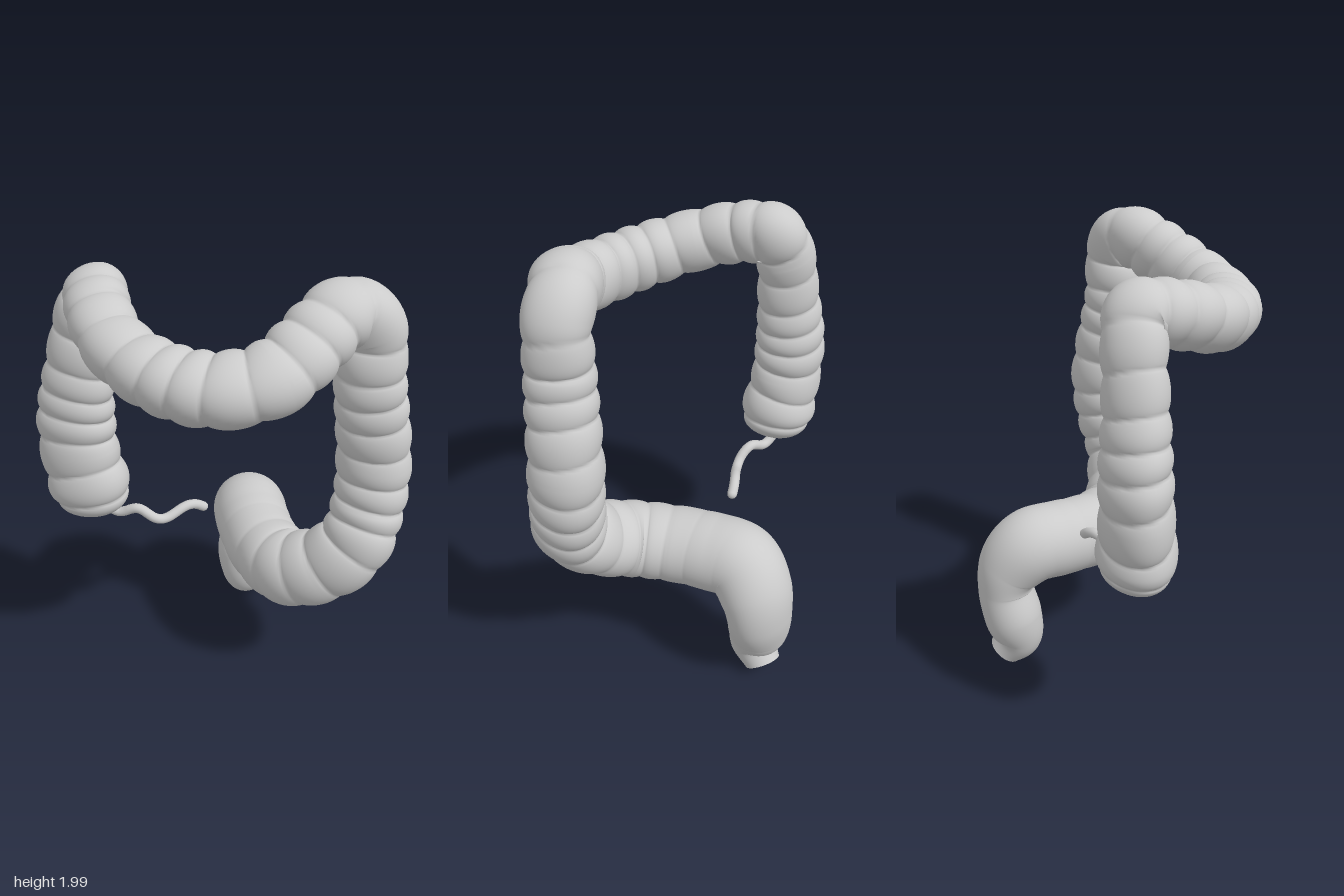
import * as THREE from 'three';

const grey = new THREE.MeshStandardMaterial({ color: 0xcccccc, side: THREE.DoubleSide });

// Centreline stations: x, y, z, radius
const stations = [
  [-0.56, 0.755, 0.055, 0.165],
  [-0.58, 0.91, 0.06, 0.182],
  [-0.615, 1.10, 0.055, 0.173],
  [-0.615, 1.25, 0.05, 0.168],
  [-0.58, 1.50, 0.05, 0.14],
  [-0.54, 1.70, 0.045, 0.126],
  [-0.485, 1.80, 0.06, 0.126],
  [-0.415, 1.785, 0.20, 0.126],
  [-0.30, 1.735, 0.34, 0.127],
  [-0.10, 1.69, 0.44, 0.133],
  [0.12, 1.68, 0.46, 0.137],
  [0.30, 1.72, 0.39, 0.138],
  [0.505, 1.872, 0.11, 0.132],
  [0.585, 1.80, 0.052, 0.128],
  [0.595, 1.60, 0.05, 0.136],
  [0.64, 1.20, 0.0, 0.15],
  [0.64, 1.00, 0.02, 0.15],
  [0.60, 0.82, 0.07, 0.155],
  [0.48, 0.69, 0.078, 0.163],
  [0.32, 0.61, 0.045, 0.168],
  [0.19, 0.592, -0.08, 0.168],
  [0.095, 0.598, -0.24, 0.17],
  [0.045, 0.593, -0.36, 0.17],
  [0.045, 0.49, -0.46, 0.165],
  [0.04, 0.38, -0.482, 0.156],
  [0.01, 0.25, -0.453, 0.143],
  [0.012, 0.135, -0.435, 0.11],
  [0.02, 0.056, -0.497, 0.08],
];

const bump = (u, centre, width) => Math.exp(-(((u - centre) / width) ** 2));

// Tube of varying radius with pouches, a domed start and a dished flat end
function pouchedTube(rings, sides, dome, spacing) {
  const path = new THREE.CatmullRomCurve3(stations.map(([x, y, z]) => new THREE.Vector3(x, y, z)));
  const radius = new THREE.SplineCurve(stations.map((s, i) => new THREE.Vector2(i, s[3])));
  path.arcLengthDivisions = 1000;
  const length = path.getLength();
  const frames = path.computeFrenetFrames(rings, false);
  const pos = [], index = [];
  for (let i = 0; i <= rings; i++) {
    const u = i / rings;
    const s = u * length;
    const t = path.getUtoTmapping(u);
    const c = path.getPoint(t);
    const cap = s < dome ? Math.sqrt(1 - (1 - s / dome) ** 2) : 1;
    const r = radius.getPoint(t).y * cap;
    // pouches fade to a smooth wall; some stretches are flattened front to back
    const depth = 0.125 * (1 - THREE.MathUtils.smoothstep(u, 0.66, 0.9));
    const squash = 1 - 0.19 * bump(u, 0.08, 0.1) - 0.06 * bump(u, 0.57, 0.08) - 0.2 * bump(u, 0.925, 0.035);
    for (let j = 0; j < sides; j++) {
      const a = (j / sides) * Math.PI * 2;
      // pouch borders wander a little round the wall
      const phase = s + 0.022 * Math.sin(s * 11) + 0.014 * Math.sin(a + s * 3);
      const swell = Math.abs(Math.sin((Math.PI * phase) / spacing)) ** 0.6;
      const band = 0.25 * Math.cos(3 * a + 0.6 * Math.sin(s * 5));
      const rad = r * (1 + depth * (swell - 0.82 + band));
      const off = frames.normals[i].clone().multiplyScalar(Math.cos(a) * rad)
        .addScaledVector(frames.binormals[i], Math.sin(a) * rad);
      pos.push(c.x + off.x, c.y + off.y, c.z + off.z * squash);
    }
  }
  for (let i = 0; i < rings; i++) {
    for (let j = 0; j < sides; j++) {
      const a = i * sides + j, b = i * sides + ((j + 1) % sides);
      index.push(a, b, a + sides, b, b + sides, a + sides);
    }
  }
  // end disc on its own vertices, so its rim stays sharp
  const last = rings * sides, first = last + sides;
  for (let j = 0; j < sides * 3; j++) pos.push(pos[last * 3 + j]);
  const end = path.getPoint(1).addScaledVector(path.getTangent(1), -0.012);
  pos.push(end.x, end.y, end.z);
  for (let j = 0; j < sides; j++) index.push(first + j, first + ((j + 1) % sides), first + sides);

  const geo = new THREE.BufferGeometry();
  geo.setAttribute('position', new THREE.Float32BufferAttribute(pos, 3));
  geo.setIndex(index);
  geo.computeVertexNormals();
  return geo;
}

export function createModel() {
  const group = new THREE.Group();
  group.name = 'largeIntestine';
  const add = (name, geo) => {
    const mesh = new THREE.Mesh(geo, grey);
    mesh.name = name;
    group.add(mesh);
    return mesh;
  };

  add('colon', pouchedTube(700, 48, 0.13, 0.125));

  // Thin appendix: a wave along x that bends backwards towards its tip
  const wave = [];
  for (let i = 0; i <= 16; i++) {
    const t = i / 16;
    const x = -0.54 + 0.425 * t;
    const y = 0.78 - 0.045 * t - 0.022 * Math.sin((x + 0.52) * 31);
    wave.push(new THREE.Vector3(x, y, 0.035 - 0.17 * THREE.MathUtils.smoothstep(t, 0.5, 1.1)));
  }
  const worm = new THREE.CatmullRomCurve3(wave);
  add('appendix', new THREE.TubeGeometry(worm, 80, 0.022, 14));
  add('appendixTip', new THREE.SphereGeometry(0.022, 14, 10)).position.copy(worm.getPoint(1));

  return group;
}
